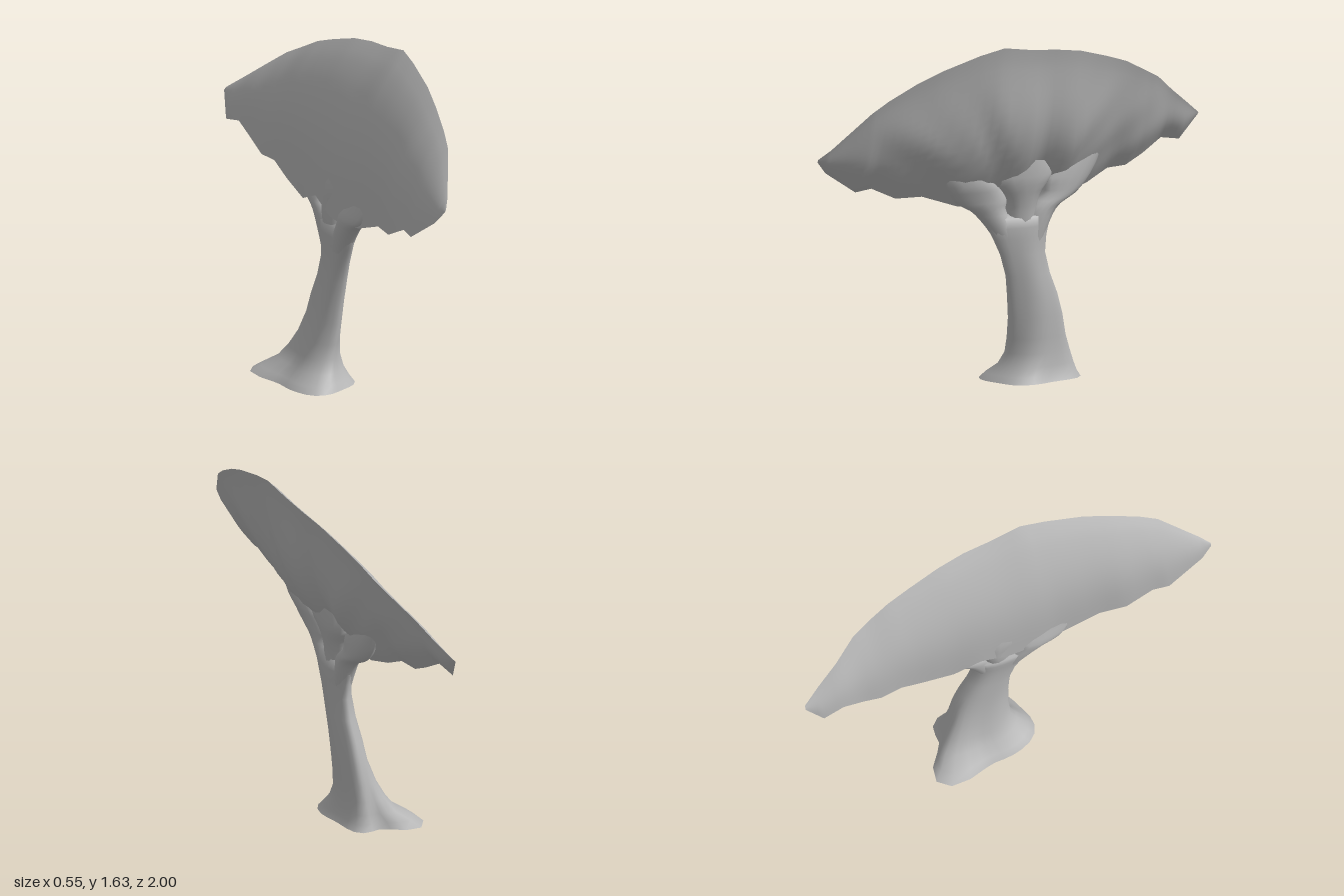
import * as THREE from 'three';

const bark = new THREE.MeshStandardMaterial({ color: 0xb4b4b4, side: THREE.DoubleSide });
bark.name = 'plain grey';

// Skin a grid of points; closed grids wrap around their columns.
function skin(name, rows, closed, flip) {
  const n = rows[0].length, index = [];
  for (let i = 0; i < rows.length - 1; i++) {
    for (let j = 0; j < (closed ? n : n - 1); j++) {
      const k = (j + 1) % n;
      const a = i * n + j, b = i * n + k, c = a + n, d = c - j + k;
      if (flip) index.push(a, c, b, b, c, d);
      else index.push(a, b, c, b, d, c);
    }
  }
  const g = new THREE.BufferGeometry();
  g.setAttribute('position', new THREE.Float32BufferAttribute(rows.flat(2), 3));
  g.setIndex(index);
  g.computeVertexNormals();
  const mesh = new THREE.Mesh(g, bark);
  mesh.name = name;
  return mesh;
}

// Horizontal ring; flare pulls root lobes out of the oval.
function ring(x, y, z, rx, rz, flare = 0, sides = 28) {
  const lobe = (t, at, p) => Math.pow(Math.max(0, Math.cos(t - at)), p);
  return Array.from({ length: sides }, (_, i) => {
    const t = (i / sides) * Math.PI * 2;
    const f = 1 + flare * (0.8 * lobe(t, 3.93, 8) + 0.22 * lobe(t, 2.1, 8)
      + 0.14 * lobe(t, 0.6, 8) + 0.2 * lobe(t, 5.2, 10))
      + 0.035 * Math.sin(5 * t + y * 4);
    return [x + rx * f * Math.cos(t), y, z + rz * f * Math.sin(t)];
  });
}

// Canopy stations: z, rim x, rim y, lower edge x, lower edge y
const stations = [
  [1, 0.11, 1.155, 0.10, 1.14], [0.95, 0.14, 1.2, 0.075, 1.08],
  [0.78, 0.215, 1.37, 0.03, 0.965], [0.7, 0.23, 1.425, 0.03, 0.975],
  [0.57, 0.247, 1.495, 0.01, 0.912], [0.44, 0.262, 1.55, 0.015, 0.91],
  [0.26, 0.27, 1.605, 0, 0.845], [0.14, 0.272, 1.63, -0.02, 0.82],
  [0, 0.252, 1.605, -0.035, 0.825], [-0.14, 0.235, 1.59, -0.045, 0.885],
  [-0.27, 0.207, 1.567, -0.05, 0.83], [-0.42, 0.168, 1.52, -0.065, 0.88],
  [-0.53, 0.138, 1.48, -0.08, 0.935], [-0.63, 0.104, 1.425, -0.1, 0.935],
  [-0.72, 0.065, 1.375, -0.11, 0.98], [-0.82, -0.005, 1.29, -0.13, 1.04],
  [-0.92, -0.06, 1.21, -0.15, 1.02], [-1, -0.11, 1.145, -0.125, 1.13],
];

// One face of the leaning canopy, from rim down to lower edge.
function canopySheet(name, under) {
  const rows = [], sub = 3, cols = 16;
  for (let s = 0; s <= (stations.length - 1) * sub; s++) {
    const i = Math.min(Math.floor(s / sub), stations.length - 2), f = s / sub - i;
    const [z, rx, ry, lx, ly] = stations[i].map((v, k) => v + (stations[i + 1][k] - v) * f);
    const size = (ry - ly) / 0.8;
    // Fuller where the limbs meet it
    const swell = 0.07 + 0.035 * Math.exp(-Math.pow((z + 0.05) / 0.25, 2));
    rows.push(Array.from({ length: cols + 1 }, (_, j) => {
      const u = j / cols, y = ry + (ly - ry) * u;
      let x = rx + (lx - rx) * u;
      if (under) {
        // Folds radiate from the top of the trunk
        const a = Math.atan2(z + 0.05, y - 0.7);
        x += size * (swell * Math.sin(Math.PI * Math.pow(u, 1.3))
          + (0.014 * Math.sin(a * 10) + 0.009 * Math.sin(a * 23 + 1)) * Math.sin(Math.PI * u) * u);
      } else {
        x -= size * 0.095 * Math.sin(Math.PI * Math.pow(u, 0.8));
      }
      return [x, y, z];
    }));
  }
  return skin(name, rows, false, !under);
}

// Branch lofted through points of x, y, z, rx, rz.
function branch(name, pts) {
  const path = new THREE.CatmullRomCurve3(pts.map(p => new THREE.Vector3(p[0], p[1], p[2])));
  const size = new THREE.CatmullRomCurve3(pts.map(p => new THREE.Vector3(p[3], p[4], 0)));
  const rows = [];
  for (let i = 0; i <= 14; i++) {
    const p = path.getPoint(i / 14), r = size.getPoint(i / 14);
    rows.push(ring(p.x, p.y, p.z, r.x, r.y, 0, 16));
  }
  return skin(name, rows, true, true);
}

export function createModel() {
  const tree = new THREE.Group();
  tree.name = 'windsweptTree';

  // Trunk with spreading roots
  const trunkRows = [
    ring(-0.06, 0, -0.13, 0.158, 0.2, 1),
    ring(-0.057, 0.03, -0.135, 0.138, 0.185, 0.85),
    ring(-0.042, 0.07, -0.15, 0.11, 0.165, 0.55),
    ring(-0.033, 0.13, -0.155, 0.092, 0.148, 0.3),
    ring(-0.02, 0.2, -0.145, 0.079, 0.14, 0.12),
    ring(-0.003, 0.3, -0.132, 0.068, 0.132),
    ring(0.006, 0.4, -0.112, 0.062, 0.122),
    ring(0.016, 0.5, -0.085, 0.056, 0.108),
    ring(0.02, 0.6, -0.058, 0.052, 0.11),
    ring(0.02, 0.68, -0.043, 0.054, 0.132),
    ring(0.018, 0.73, -0.036, 0.056, 0.152),
    ring(0.016, 0.775, -0.034, 0.052, 0.168),
    ring(0.016, 0.797, -0.034, 0, 0),
  ];
  tree.add(skin('trunk', trunkRows, true, true));
  tree.add(skin('trunkBase', [ring(-0.06, 0, -0.13, 0, 0), trunkRows[0]], true, true));

  // Three main limbs, with small gaps between them
  tree.add(branch('frontLimb', [
    [0.018, 0.62, 0.0, 0.04, 0.045], [0.016, 0.73, 0.05, 0.05, 0.065],
    [0.016, 0.81, 0.105, 0.053, 0.08], [0.024, 0.87, 0.155, 0.055, 0.13],
    [0.055, 0.96, 0.22, 0.048, 0.13], [0.075, 1.12, 0.36, 0.02, 0.06],
  ]));
  tree.add(branch('middleLimb', [
    [0.018, 0.62, -0.05, 0.04, 0.06], [0.018, 0.75, -0.052, 0.052, 0.065],
    [0.018, 0.82, -0.056, 0.058, 0.073], [0.024, 0.88, -0.055, 0.062, 0.09],
    [0.038, 0.98, -0.04, 0.065, 0.16], [0.06, 1.2, -0.03, 0.03, 0.08],
  ]));
  tree.add(branch('backLimb', [
    [0.018, 0.62, -0.1, 0.04, 0.045], [0.016, 0.74, -0.135, 0.05, 0.06],
    [0.013, 0.81, -0.17, 0.053, 0.07], [0.01, 0.87, -0.25, 0.054, 0.09],
    [0.01, 0.95, -0.29, 0.05, 0.12], [0.01, 1.1, -0.42, 0.025, 0.06],
  ]));

  // Broad leaning canopy
  tree.add(canopySheet('canopyTop', false));
  tree.add(canopySheet('canopyUnderside', true));
  return tree;
}
